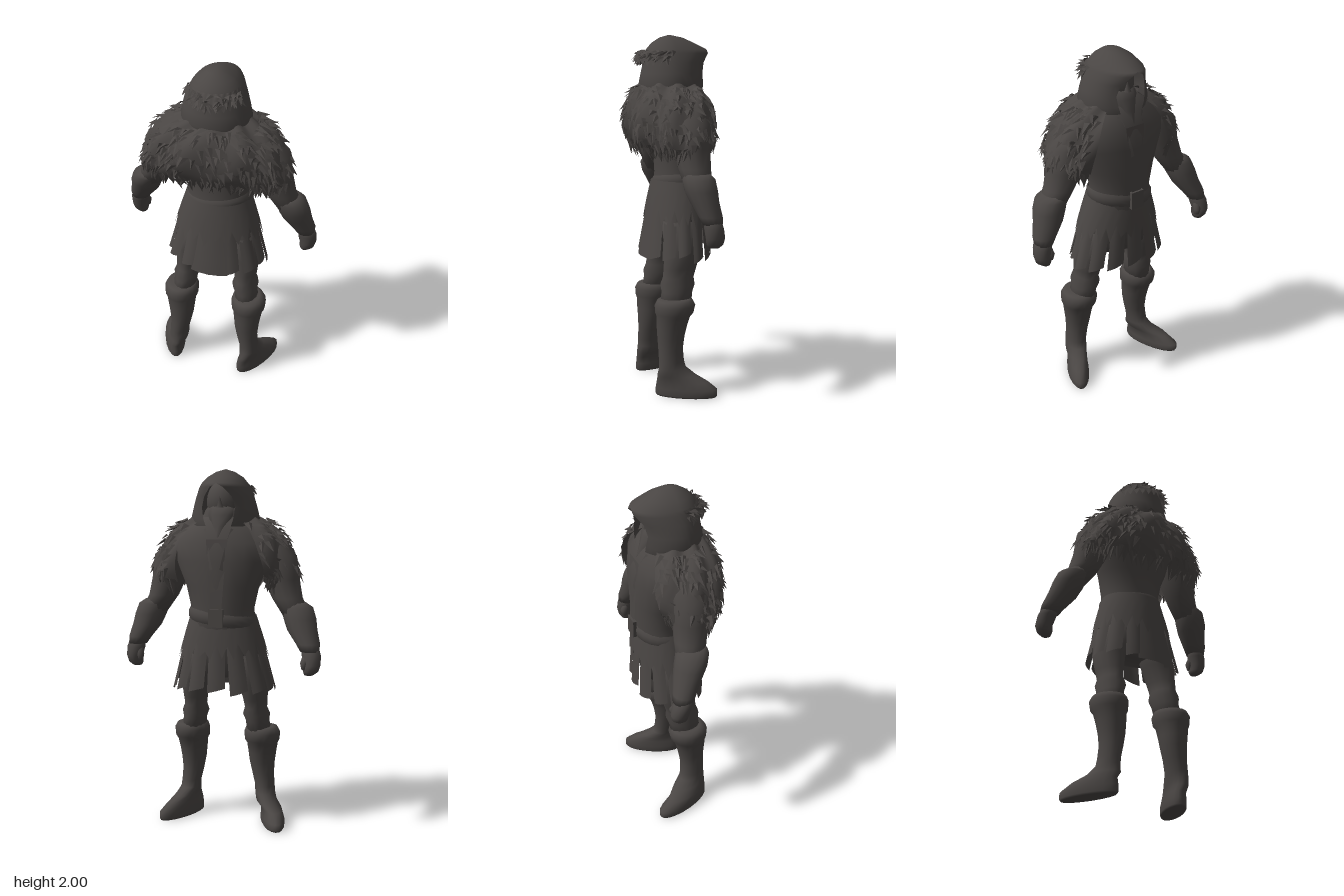
import * as THREE from 'three';
import { mergeVertices } from 'three/addons/utils/BufferGeometryUtils.js';

const hide = new THREE.MeshStandardMaterial({ color: 0x4a4644, side: THREE.DoubleSide });
hide.name = 'dark hide';

let seed = 7;
const rnd = (a = 0, b = 1) => {
  seed = (seed * 16807) % 2147483647;
  return a + (b - a) * (seed / 2147483647);
};
const V = (x, y, z) => new THREE.Vector3(x, y, z);

export function createModel() {
  const model = new THREE.Group();
  model.name = 'furCloakedWarrior';

  const add = (name, geo, parent = model) => {
    const m = new THREE.Mesh(geo, hide);
    m.name = name;
    parent.add(m);
    return m;
  };

  // Smooth surface from a function of (u, v)
  function sheet(fn, nu, nv) {
    const pos = [], idx = [];
    for (let j = 0; j <= nv; j++) for (let i = 0; i <= nu; i++) pos.push(...fn(i / nu, j / nv).toArray());
    for (let j = 0; j < nv; j++) for (let i = 0; i < nu; i++) {
      const a = j * (nu + 1) + i, b = a + nu + 1;
      idx.push(a, b, a + 1, a + 1, b, b + 1);
    }
    let g = new THREE.BufferGeometry();
    g.setAttribute('position', new THREE.Float32BufferAttribute(pos, 3));
    g.setIndex(idx);
    g = mergeVertices(g, 1e-4);
    g.computeVertexNormals();
    return g;
  }

  // Closed limb from elliptical rings [x, y, z, rx, rz, sideways shear]
  function loft(rings, seg = 14) {
    const f = rings[0], l = rings[rings.length - 1];
    const all = [[f[0], f[1], f[2], 0, 0], ...rings, [l[0], l[1], l[2], 0, 0]];
    return sheet((u, v) => {
      const [x, y, z, rx, rz, s = 0] = all[Math.round(v * (all.length - 1))];
      const a = (u === 1 ? 0 : u) * Math.PI * 2;
      return V(x + Math.sin(a) * rx - s * Math.cos(a) * rz, y, z + Math.cos(a) * rz);
    }, seg, all.length - 1);
  }

  // Faceted fur tufts scattered over a surface S(u, v)
  function tufts(S, count, pick, len, width) {
    const pos = [];
    for (let i = 0; i < count; i++) {
      const [u, v] = pick(i);
      const p = S(u, v), t = S(u + 0.01, v).sub(p).normalize();
      const d = S(u, v + 0.02).sub(S(u, v - 0.02)).normalize();
      const n = t.clone().cross(d).normalize();
      if (n.x * p.x + n.z * (p.z + 0.02) < 0) n.negate();
      const w = width * rnd(0.6, 1.3), L = len * rnd(0.6, 1.3);
      const a = p.clone().addScaledVector(t, -w), b = p.clone().addScaledVector(t, w);
      const r = p.clone().addScaledVector(n, 0.013);
      const tip = p.clone().addScaledVector(d, L).addScaledVector(n, rnd(0.004, 0.028)).addScaledVector(t, rnd(-0.03, 0.03));
      for (const q of [a, r, tip, r, b, tip]) pos.push(q.x, q.y, q.z);
    }
    const g = new THREE.BufferGeometry();
    g.setAttribute('position', new THREE.Float32BufferAttribute(pos, 3));
    g.computeVertexNormals();
    return g;
  }

  // Torso and coat
  add('torso', loft([
    [0, 0.86, -0.05, 0.19, 0.13], [0, 1.0, -0.05, 0.21, 0.15], [0, 1.14, -0.075, 0.185, 0.15],
    [0, 1.24, -0.08, 0.178, 0.147], [0, 1.36, -0.08, 0.205, 0.153], [0, 1.5, -0.07, 0.265, 0.162],
    [0, 1.6, -0.06, 0.275, 0.157], [0, 1.68, -0.045, 0.2, 0.135], [0, 1.76, -0.02, 0.11, 0.11]], 22));
  // Sash slung a little lower on one hip
  add('sash', sheet((u, v) => {
    const a = u * Math.PI * 2, out = v === 0 || v === 1 ? 0 : 0.009;
    const y = 1.15 + 0.07 * v + 0.025 * Math.sin(a);
    return V(Math.sin(a) * (0.183 + out), y, -0.077 + Math.cos(a) * (0.148 + out));
  }, 24, 4));
  add('buckle', new THREE.BoxGeometry(0.08, 0.1, 0.02)).position.set(0, 1.195, -0.236);
  add('coatFrontEdge', sheet((u, v) => V((u - 0.5) * (0.06 + 0.06 * v), 1.24 + 0.38 * v,
    -0.234 + 0.02 * v * v), 2, 5));

  // Skirt with torn hem over hanging strips
  const skirtAt = (a, y, out = 0) => {
    const t = (1.2 - y) / 0.42;
    return V(Math.sin(a) * (0.178 + 0.112 * t + out), y, -0.065 + 0.02 * t + Math.cos(a) * (0.142 + 0.044 * t + out));
  };
  const hem = Array.from({ length: 48 }, (_, i) => (i % 2 ? rnd(0.93, 0.99) : rnd(1.0, 1.06)));
  add('skirtOverlay', sheet((u, v) => {
    const i = Math.round(u * 48) % 48;
    return skirtAt(i / 48 * Math.PI * 2, v === 1 ? hem[i] : 1.2 - 0.14 * v, 0.008 + 0.008 * v);
  }, 48, 3));
  const strips = new THREE.Group();
  strips.name = 'skirtStrips';
  model.add(strips);
  for (let k = 0; k < 14; k++) {
    const back = k === 0, a0 = k / 14 * Math.PI * 2, half = back ? 0.42 : 0.205;
    const low = back ? 0.765 : rnd(0.77, 0.81), lift = rnd(-0.012, 0.012), skew = back ? 0 : 0.03;
    add('skirtStrip', sheet((u, v) => skirtAt(a0 + (u - 0.5) * 2 * half * (1 - 0.12 * v),
      1.1 + (low + (u - 0.5) * skew - 1.1) * v, lift * v + 0.008 * Math.sin(u * Math.PI)), 4, 4), strips);
  }

  for (const s of [1, -1]) {
    const side = s > 0 ? 'left' : 'right';
    // Legs and boots: the right leg stands slightly ahead, the left foot turns out more
    const zl = s > 0 ? 0 : -0.02;
    const leg = (rows, seg) => loft(rows.map(([x, y, z, rx, rz, turn = 0]) => [s * x, y, z + zl, rx, rz, s * turn]), seg);
    add(side + 'Thigh', leg([
      [0.13, 0.98, -0.04, 0.1, 0.12], [0.17, 0.82, -0.03, 0.085, 0.105], [0.178, 0.72, -0.01, 0.068, 0.095],
      [0.18, 0.67, 0, 0.062, 0.09], [0.182, 0.63, 0.005, 0.076, 0.1],
      [0.187, 0.59, 0.01, 0.066, 0.09], [0.2, 0.5, 0.025, 0.07, 0.09]]));
    const [reach, turn, fx, fw] = s > 0 ? [0.158, 0.45, 0.262, 0.07] : [0.17, 0.3, 0.286, 0.067];
    add(side + 'Boot', leg([
      [0.205, 0.555, 0.025, 0.07, 0.08], [0.208, 0.548, 0.03, 0.09, 0.1], [0.21, 0.52, 0.03, 0.102, 0.115],
      [0.21, 0.475, 0.034, 0.099, 0.108], [0.21, 0.455, 0.04, 0.088, 0.095], [0.208, 0.4, 0.048, 0.08, 0.086],
      [0.207, 0.34, 0.053, 0.072, 0.077], [0.212, 0.27, 0.057, 0.062, 0.07], [0.223, 0.2, 0.055, 0.056, 0.072],
      [0.226, 0.16, 0.05, 0.057, 0.078], [0.238, 0.12, 0.03, 0.06, 0.105, turn * 0.5],
      [fx - 0.012, 0.085, 0, fw - 0.008, 0.133, turn * 0.9], [fx, 0.045, 0.138 - reach, fw, reach, turn],
      [fx, 0.01, 0.138 - reach, fw, reach, turn], [fx, 0, 0.138 - reach, fw - 0.006, reach - 0.006, turn]], 18));

    // Arms: the right one is swung a little further forward
    const dz = y => (s > 0 ? -0.025 : -0.115) * THREE.MathUtils.clamp((1.45 - y) / 0.45, 0, 1.1);
    const arm = rows => loft(rows.map(([x, y, z, rx, rz]) => [s * x, y, z + dz(y), rx, rz]));
    add(side + 'UpperArm', arm([[0.24, 1.62, -0.03, 0.06, 0.08], [0.3, 1.53, -0.03, 0.105, 0.105],
      [0.325, 1.4, -0.02, 0.098, 0.1], [0.36, 1.3, -0.015, 0.085, 0.088], [0.42, 1.2, -0.015, 0.075, 0.075]]));
    add(side + 'Bracer', arm([[0.4, 1.275, -0.015, 0.065, 0.07], [0.417, 1.25, -0.015, 0.088, 0.088],
      [0.437, 1.19, -0.018, 0.09, 0.088], [0.455, 1.13, -0.028, 0.083, 0.076], [0.492, 1.06, -0.042, 0.066, 0.064],
      [0.505, 1.02, -0.048, 0.052, 0.054]]));
    add(side + 'Hand', arm([[0.505, 1.05, -0.045, 0.045, 0.045], [0.515, 1.0, -0.05, 0.052, 0.052],
      [0.522, 0.95, -0.053, 0.046, 0.052], [0.515, 0.915, -0.053, 0.042, 0.045], [0.505, 0.895, -0.053, 0.025, 0.03]]));
    add(side + 'Thumb', arm([[0.49, 1.0, -0.065, 0.02, 0.02], [0.482, 0.96, -0.075, 0.022, 0.024],
      [0.482, 0.925, -0.073, 0.014, 0.014]]));

    // Lapel lying across the chest
    add(side + 'Lapel', sheet((u, v) => V(s * (0.02 + 0.05 * v + u * 0.1), 1.46 + 0.22 * v - 0.05 * u,
      -0.235 + 0.06 * v * v + 0.035 * u), 3, 4));
  }

  // Fur mantle, open at the chest
  const mantleLine = new THREE.CatmullRomCurve3([V(0.15, 1.75, 0.13), V(0.235, 1.705, 0.17),
    V(0.325, 1.63, 0.212), V(0.378, 1.53, 0.222), V(0.408, 1.44, 0.203), V(0.402, 1.38, 0.172)]);
  const pw = (c, e) => Math.sign(c) * Math.abs(c) ** e;
  const mantleAt = (u, v) => {
    const a = (u - 0.5) * 5.1, c = Math.cos(a), p = mantleLine.getPoint(THREE.MathUtils.clamp(v, 0, 1));
    const drop = v * 0.02 * (1 - Math.abs(Math.sin(a)));
    const bump = 0.007 * Math.sin(a * 9 + v * 7);
    return V(pw(Math.sin(a), 0.85) * (p.x + bump), p.y + drop + bump,
      -0.01 + pw(c, c < 0 ? 1.05 : 0.85) * (p.z + bump));
  };
  add('furMantle', sheet(mantleAt, 44, 9));
  add('mantleFur', tufts(mantleAt, 330, () => [rnd(0.01, 0.98), rnd(0.15, 0.93)], 0.06, 0.024));
  add('mantleFringe', tufts(mantleAt, 110, i => [(i + rnd()) / 111, rnd(0.9, 0.97)], 0.08, 0.02));

  // Head with a pointed beard and a neck wrap
  const head = add('face', new THREE.SphereGeometry(0.1, 16, 12));
  head.scale.set(0.98, 1.25, 1.05);
  head.position.set(0, 1.82, -0.04);
  const nose = add('nose', new THREE.ConeGeometry(0.02, 0.06, 5));
  nose.position.set(0, 1.82, -0.147);
  add('beard', loft([[0, 1.8, -0.09, 0.07, 0.05], [0, 1.75, -0.115, 0.072, 0.05], [0, 1.69, -0.14, 0.05, 0.04],
    [0, 1.63, -0.185, 0.012, 0.02]], 10));
  add('neckWrap', loft([[0, 1.8, -0.035, 0.09, 0.1], [0, 1.77, -0.035, 0.11, 0.11],
    [0, 1.72, -0.035, 0.125, 0.12], [0, 1.66, -0.04, 0.14, 0.13]]));

  // Hood: closed over the brow, open around the face; rows [y, half width, back, front, opening]
  const hoodRows = [[1.69, 0.18, 0.155, 0.185, 0.4], [1.73, 0.192, 0.168, 0.19, 0.45], [1.79, 0.178, 0.157, 0.19, 0.55],
    [1.85, 0.16, 0.143, 0.2, 0.5], [1.9, 0.138, 0.138, 0.225, 0.26], [1.92, 0.127, 0.13, 0.218, 0],
    [1.955, 0.098, 0.1, 0.145, 0], [1.985, 0.05, 0.055, 0.075, 0], [2, 0, 0, 0, 0]];
  const hoodAt = (u, v) => {
    const t = THREE.MathUtils.clamp(v, 0, 1) * 8, i = Math.min(7, Math.floor(t));
    const [y, rx, zb, zf, gap] = hoodRows[i].map((q, k) => THREE.MathUtils.lerp(q, hoodRows[i + 1][k], t - i));
    const a = (u - 0.5) * 2 * (Math.PI - gap), c = Math.cos(a);
    return V(Math.sin(a) * rx, y, c * (c > 0 ? zb : zf) - 0.01);
  };
  add('hood', sheet(hoodAt, 32, 8));

  // Shaggy fur band standing out around the back of the hood
  const bandAt = (u, v) => {
    const p = hoodAt(0.26 + 0.48 * u, 0.6 - 0.2 * v);
    return V(p.x * (1 + 0.03 * v), p.y, p.z * (1 + 0.3 * v));
  };
  add('hoodFurBand', sheet((u, v) => bandAt(u, v).add(V(0, -(Math.round(u * 24) % 2) * 0.03 * v, 0)), 24, 2));
  add('hoodFur', tufts(bandAt, 60, () => [rnd(0.01, 0.98), rnd(0.2, 0.95)], 0.04, 0.02));

  return model;
}
